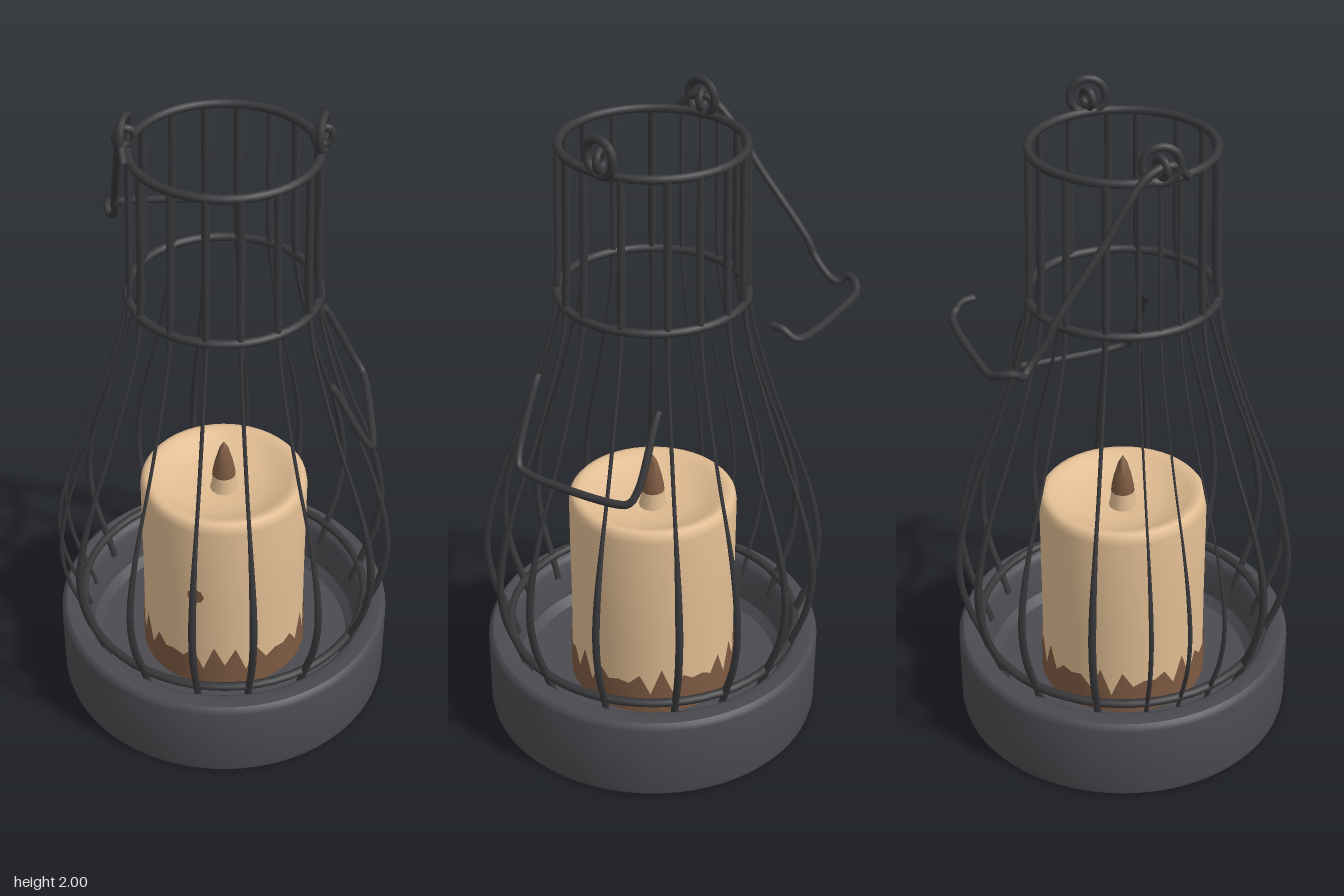
import * as THREE from 'three';
import { toCreasedNormals } from 'three/addons/utils/BufferGeometryUtils.js';

const mat = (name, color, side = THREE.FrontSide) => {
  const m = new THREE.MeshStandardMaterial({ color, side });
  m.name = name;
  return m;
};
const V = (x, y, z) => new THREE.Vector3(x, y, z);

export function createModel() {
  const iron = mat('grey iron', 0x4b4a4f);
  const wire = mat('dark wire', 0x38383b);
  const wax = mat('cream wax', 0xe0bc92);
  const rust = mat('brown rust', 0x7d5a42, THREE.DoubleSide);

  const model = new THREE.Group();
  model.name = 'candleLantern';
  const add = (name, geometry, material, parent = model) => {
    const mesh = new THREE.Mesh(geometry, material);
    mesh.name = name;
    parent.add(mesh);
    return mesh;
  };
  const lathe = (points, segments, crease = 0.6) => toCreasedNormals(
    new THREE.LatheGeometry(points.map(([r, y]) => new THREE.Vector2(r, y)), segments), crease);

  // Tray: rounded outer wall, sunken floor, hollow foot
  add('tray', lathe([
    [0.44, 0.016], [0.45, 0.006], [0.465, 0], [0.507, 0], [0.52, 0.006], [0.523, 0.02],
    [0.523, 0.25], [0.518, 0.263], [0.508, 0.27], [0.465, 0.27], [0.45, 0.262],
    [0.44, 0.245], [0.425, 0.13], [0.4, 0.105], [0, 0.1],
  ], 64), iron);
  const underside = add('underside', new THREE.CircleGeometry(0.442, 48), wire);
  underside.rotation.x = Math.PI / 2;
  underside.position.y = 0.015;

  // Rust spots under the foot
  [[0.28, -0.01, 0.052], [0.11, -0.03, 0.028], [-0.09, -0.035, 0.032]].forEach(([x, z, r]) => {
    const spot = add('rustSpot', new THREE.CircleGeometry(r, 7), rust);
    spot.rotation.x = Math.PI / 2;
    spot.scale.y = 0.75;
    spot.position.set(x, 0.011, z);
  });

  // Candle with a softly melted hollow
  add('candle', lathe([
    [0.257, 0.1], [0.256, 0.4], [0.257, 0.735], [0.253, 0.755], [0.243, 0.767], [0.228, 0.768],
    [0.205, 0.757], [0.17, 0.738], [0.13, 0.724], [0.07, 0.714], [0, 0.71],
  ], 48, 1.2), wax);
  add('wickFoot', lathe([[0.045, 0.705], [0.038, 0.735], [0.036, 0.765]], 12), wax);
  add('wick', lathe([
    [0.036, 0.765], [0.034, 0.785], [0.027, 0.82], [0.014, 0.865], [0, 0.89],
  ], 12, 1.2), rust);

  // Jagged stain around the candle foot
  const stain = new THREE.CylinderGeometry(0.261, 0.261, 0.1, 48, 1, true);
  const sp = stain.attributes.position;
  for (let i = 0; i <= 48; i++) {
    const k = i % 48;
    sp.setY(i, (k % 2 ? 0.095 : 0.045) + 0.025 * Math.sin(k * 2.3));
  }
  add('stain', stain, rust).position.y = 0.15;
  const drip = add('drip', new THREE.CircleGeometry(0.028, 7), rust);
  drip.position.set(-0.09, 0.48, 0.244);
  drip.rotation.y = -0.36;

  // Ribs narrow along their length by a rule of height
  const cage = new THREE.Group();
  cage.name = 'cage';
  model.add(cage);
  const profile = [[0.43, 0.22], [0.455, 0.3], [0.497, 0.42], [0.515, 0.55], [0.5, 0.68],
    [0.455, 0.84], [0.395, 1.0], [0.335, 1.18], [0.29, 1.34], [0.274, 1.45], [0.262, 1.89]];
  const SEG = 44, SIDES = 6;
  const thickness = (y) => {
    const dip = THREE.MathUtils.smoothstep(y, 0.6, 0.95) * (1 - THREE.MathUtils.smoothstep(y, 1.35, 1.5));
    return 1 - 0.5 * dip;
  };
  const ribGeometry = (radius) => {
    const path = new THREE.CatmullRomCurve3(profile.map(([r, y]) => V(r, y, 0)));
    const geo = new THREE.TubeGeometry(path, SEG, radius, SIDES);
    const p = geo.attributes.position, v = V(0, 0, 0);
    for (let i = 0; i <= SEG; i++) {
      const c = path.getPointAt(i / SEG), s = thickness(c.y);
      for (let j = 0; j <= SIDES; j++) {
        const n = i * (SIDES + 1) + j;
        v.fromBufferAttribute(p, n).sub(c).multiplyScalar(s).add(c);
        p.setXYZ(n, v.x, v.y, v.z);
      }
    }
    return geo;
  };
  const rib = ribGeometry(0.0115), thinRib = ribGeometry(0.007);
  // Slightly uneven spacing, in degrees; negative angles run along the front
  [13, 40, 60, 81, 101, 123, 148, -13, -31, -58, -81, -101, -123, -148].forEach((a) => {
    add('rib', rib, wire, cage).rotation.y = THREE.MathUtils.degToRad(a);
  });
  [167, 180, -167].forEach((a) => {
    add('thinRib', thinRib, wire, cage).rotation.y = THREE.MathUtils.degToRad(a);
  });

  // Hoops tying the ribs together
  [[0.45, 0.3, 0.013], [0.274, 1.445, 0.013], [0.26, 1.89, 0.013]].forEach(([r, y, t]) => {
    const hoop = add('hoop', new THREE.TorusGeometry(r, t, 8, 56), wire, cage);
    hoop.rotation.x = Math.PI / 2;
    hoop.position.y = y;
  });

  // Eyelets on both sides of the top hoop
  for (const side of [-1, 1]) {
    const eye = add('eyelet', new THREE.TorusGeometry(0.051, 0.012, 8, 20), wire);
    eye.position.set(side * 0.265, 1.937, 0);
    eye.rotation.y = Math.PI / 2 - 0.25;
    const curl = add('eyeletCurl', new THREE.TorusGeometry(0.026, 0.011, 8, 16), wire);
    curl.position.set(side * 0.265, 1.93, 0);
    curl.rotation.y = 0.2;
  }

  // Broken carrying handle: one hanging length and one loose bracket
  const rod = (name, points) => add(name, new THREE.TubeGeometry(
    new THREE.CatmullRomCurve3(points, false, 'centripetal'), 96, 0.0115, 8), wire);
  rod('handle', [
    V(-0.265, 1.89, 0.08), V(-0.275, 1.935, 0.03), V(-0.28, 1.92, -0.04), V(-0.3, 1.73, -0.19),
    V(-0.318, 1.55, -0.33), V(-0.32, 1.515, -0.345), V(-0.325, 1.45, -0.4), V(-0.34, 1.435, -0.42),
    V(-0.35, 1.455, -0.445), V(-0.335, 1.45, -0.475), V(-0.3, 1.435, -0.497),
    V(-0.26, 1.435, -0.503), V(0.02, 1.44, -0.5), V(0.055, 1.445, -0.485), V(0.067, 1.47, -0.455),
    V(0.067, 1.475, -0.42),
  ]);
  rod('looseBracket', [
    V(0.295, 1.25, -0.2), V(0.31, 1.23, -0.2), V(0.4, 1.055, -0.2), V(0.425, 1.015, -0.185),
    V(0.433, 1.005, -0.15), V(0.433, 1.005, 0.15), V(0.425, 1.015, 0.185), V(0.4, 1.055, 0.2),
    V(0.31, 1.23, 0.2), V(0.295, 1.25, 0.2),
  ]);

  return model;
}
